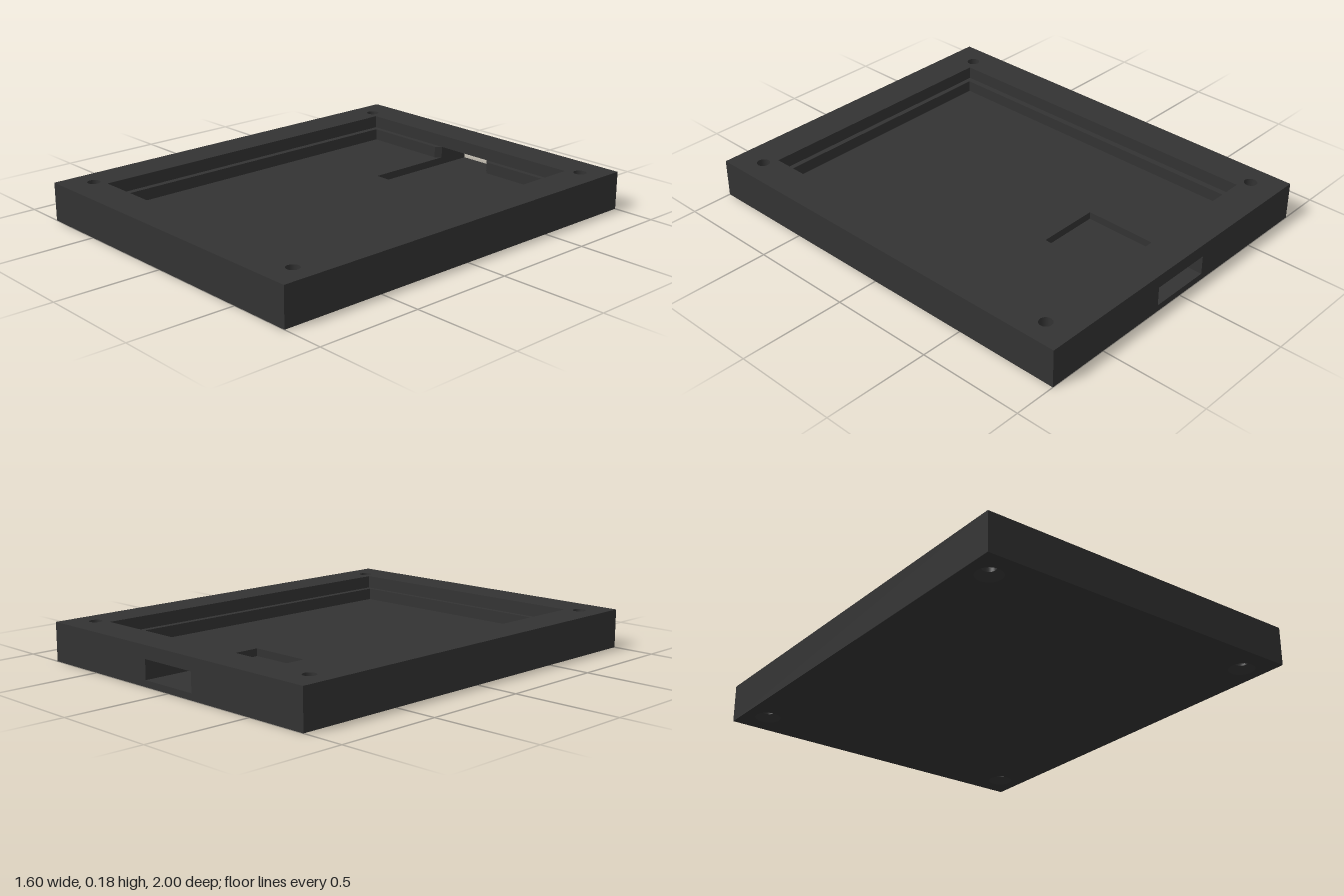
import * as THREE from 'three';
import { mergeGeometries } from 'three/addons/utils/BufferGeometryUtils.js';

const W = 0.8, L = 1, H = 0.18;                 // outer half width, half length, height
const RECESS = 0.03, FLOOR = 0.065, LEDGE = 0.12; // levels of the stepped pocket
const SLOT = 0.15, RECESS_END = -0.385;         // cable slot half width and inner end
const HOLE = 0.03, SINK = 0.06, SEG = 32;       // screw hole and countersink radii

const rect = (w, l) => [[w, -l], [w, l], [-w, l], [-w, -l]];
const mirrorPath = (half) => [...half, ...half.map(([x, z]) => [-x, z]).reverse()];
const circle = (cx, cz, r) => Array.from({ length: SEG }, (_, i) => {
  const a = (i / SEG) * Math.PI * 2;
  return [cx + r * Math.sin(a), cz + r * Math.cos(a)];
});

// Flat horizontal face from [x, z] outlines
function cap(points, y, up = true, holes = []) {
  const s = up ? -1 : 1;
  const vec = (pts) => pts.map(([x, z]) => new THREE.Vector2(x, s * z));
  const shape = new THREE.Shape(vec(points));
  shape.holes = holes.map((h) => new THREE.Path(vec(h)));
  return new THREE.ShapeGeometry(shape).rotateX(s * Math.PI / 2).translate(0, y, 0);
}

// Vertical faces along an [x, z] path, facing the right of travel seen from above
function wall(path, y0, y1, closed = false) {
  const parts = [];
  const n = closed ? path.length : path.length - 1;
  for (let i = 0; i < n; i++) {
    const [ax, az] = path[i], [bx, bz] = path[(i + 1) % path.length];
    const dx = bx - ax, dz = bz - az;
    const g = new THREE.PlaneGeometry(Math.hypot(dx, dz), y1 - y0);
    g.rotateY(Math.atan2(-dz, dx));
    parts.push(g.translate((ax + bx) / 2, (y0 + y1) / 2, (az + bz) / 2));
  }
  return mergeGeometries(parts);
}

export function createModel() {
  const group = new THREE.Group();
  const material = new THREE.MeshStandardMaterial({ color: 0x333333 });
  const add = (name, ...geometries) => {
    const mesh = new THREE.Mesh(mergeGeometries(geometries), material);
    mesh.name = name;
    group.add(mesh);
  };

  const screws = [];
  for (const x of [-0.69, 0.69]) for (const z of [-0.863, 0.863]) screws.push([x, z]);
  const opening = rect(0.63, 0.83);
  const recess = mirrorPath([[SLOT, -L], [SLOT, RECESS_END]]);
  // Inner step, with flared corners where the slot breaks through the ledge
  const stepHalf = [[SLOT, -0.83], [0.175, -0.805], [0.6, -0.805], [0.6, 0.805]];
  const step = mirrorPath([[SLOT, -L], ...stepHalf]);

  // Outer shell; the back face has the slot cut through it
  const back = new THREE.Shape([[-W, 0], [W, 0], [W, H], [-W, H]].map((p) => new THREE.Vector2(...p)));
  back.holes.push(new THREE.Path(
    [[-SLOT, RECESS], [-SLOT, LEDGE], [SLOT, LEDGE], [SLOT, RECESS]].map((p) => new THREE.Vector2(...p))));
  add('outerWalls',
    wall([[-W, -L], [-W, L], [W, L], [W, -L]], 0, H),
    new THREE.ShapeGeometry(back).rotateY(Math.PI).translate(0, 0, -L));
  add('underside', cap(rect(W, L), 0, false, screws.map(([x, z]) => circle(x, z, SINK))));
  add('topRim', cap(rect(W, L), H, true, [opening, ...screws.map(([x, z]) => circle(x, z, HOLE))]));

  // Pocket: upper walls, ledge, lower walls and floor
  add('pocketWalls', wall(opening, LEDGE, H, true), wall(step, FLOOR, LEDGE));
  const ledgeOuter = [[SLOT, -0.83], [0.63, -0.83], [0.63, 0.83], [-0.63, 0.83], [-0.63, -0.83], [-SLOT, -0.83]];
  const ledgeInner = mirrorPath(stepHalf.slice(1)).reverse();
  add('ledge', cap([...ledgeOuter, ...ledgeInner], LEDGE));
  add('pocketFloor', cap([...mirrorPath(stepHalf), [-SLOT, RECESS_END], [SLOT, RECESS_END]], FLOOR));

  // Cable recess running out through the back wall
  add('cableRecess',
    wall(recess, RECESS, FLOOR),
    cap(recess, RECESS),
    cap([[-SLOT, -L], [SLOT, -L], [SLOT, -0.83], [-SLOT, -0.83]], LEDGE, false));

  // Screw holes, countersunk from below
  const tube = (x, z, ...profile) =>
    new THREE.LatheGeometry(profile.map((p) => new THREE.Vector2(...p)), SEG).translate(x, 0, z);
  for (const [x, z] of screws) {
    add('screwHole',
      tube(x, z, [HOLE, H], [HOLE, 0.03]),
      tube(x, z, [HOLE, 0.03], [SINK, 0]));
  }
  return group;
}
